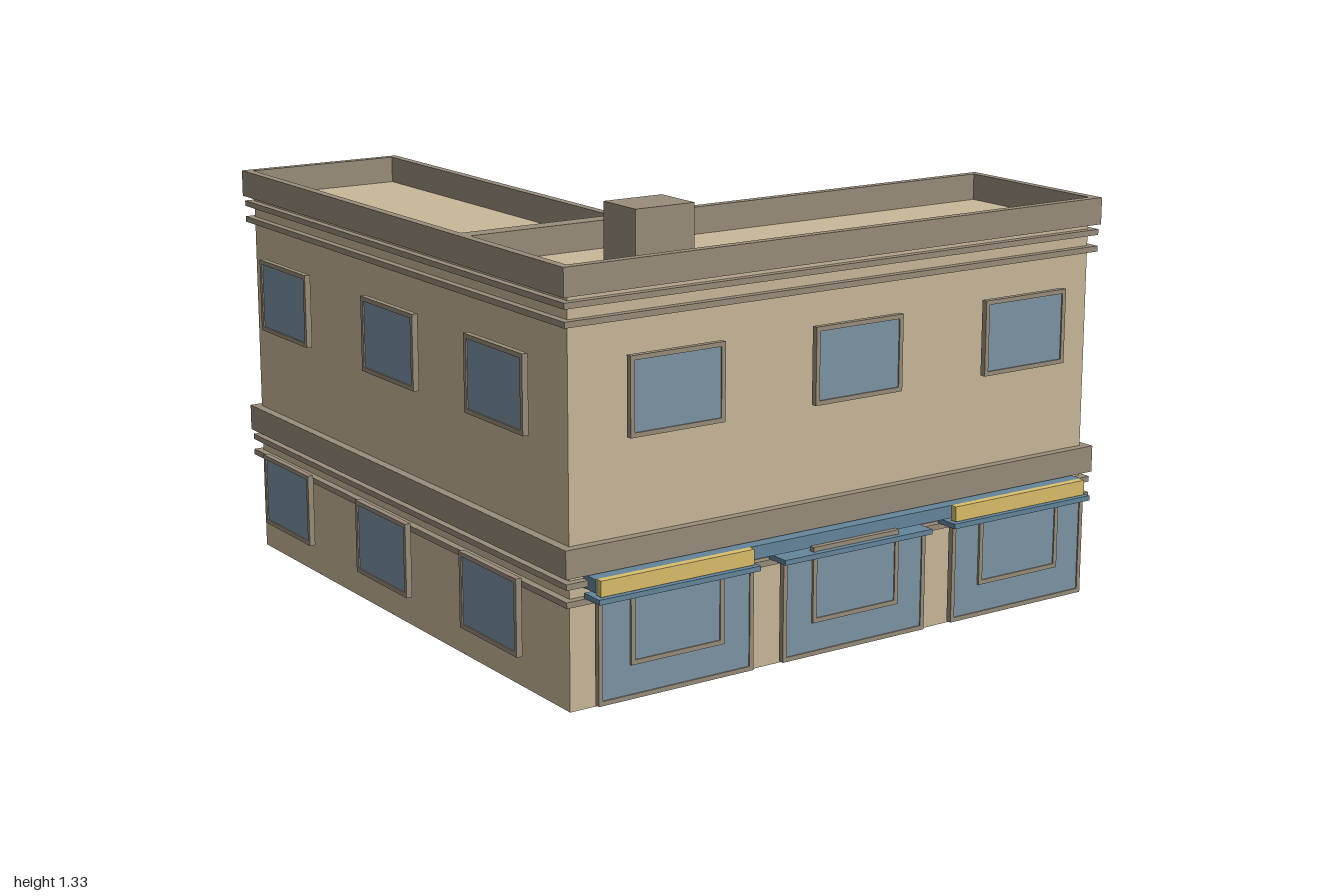
import * as THREE from 'three';

const mat = (color) => new THREE.MeshStandardMaterial({ color, flatShading: true });

export function createModel() {
  const model = new THREE.Group();
  const wall = mat(0xc9b99b), trim = mat(0x9a8e7b), glass = mat(0x7d95a5);
  const yellow = mat(0xdcbf6c), blue = mat(0x64869c);

  // Box given by its minimum and maximum on each axis
  function box(name, m, x0, x1, y0, y1, z0, z1, parent = model) {
    const mesh = new THREE.Mesh(new THREE.BoxGeometry(x1 - x0, y1 - y0, z1 - z0), m);
    mesh.position.set((x0 + x1) / 2, (y0 + y1) / 2, (z0 + z1) / 2);
    mesh.name = name;
    parent.add(mesh);
    return mesh;
  }

  // Rectangular ring outline, for frames and parapets
  function ring(w, h, t, depth) {
    const rect = (C, a, b) => {
      const p = new C();
      p.moveTo(-a, -b); p.lineTo(a, -b); p.lineTo(a, b); p.lineTo(-a, b); p.closePath();
      return p;
    };
    const shape = rect(THREE.Shape, w / 2, h / 2);
    shape.holes.push(rect(THREE.Path, w / 2 - t, h / 2 - t));
    return new THREE.ExtrudeGeometry(shape, { depth, bevelEnabled: false });
  }

  // Building block: walls, two trim courses and a parapet standing outside the wall line
  function block(name, x0, x1, z0, z1, bottom, roof) {
    const g = new THREE.Group();
    g.name = name;
    box(name + 'Walls', wall, x0, x1, bottom, roof, z0, z1, g);
    for (const y of [roof - 0.082, roof - 0.032]) {
      box(name + 'Trim', trim, x0 - 0.022, x1 + 0.022, y, y + 0.017, z0 - 0.022, z1 + 0.022, g);
    }
    const t = 0.027;
    const parapet = new THREE.Mesh(ring(x1 - x0 + 2 * t, z1 - z0 + 2 * t, t, 0.08), trim);
    parapet.rotation.x = -Math.PI / 2;
    parapet.position.set((x0 + x1) / 2, roof, (z0 + z1) / 2);
    parapet.name = name + 'Parapet';
    g.add(parapet);
    model.add(g);
  }

  const L = -0.91, R = 0.91, B = -0.92, F = 0.91, mid = 0.396;
  block('groundFloor', L, R, B, F, 0, 0.383);
  block('frontBlock', L, R, mid, F, 0.37, 1.14);
  block('tallWing', L, -0.42, B, mid, 0.37, 1.14);
  block('lowWing', 0.41, R, B, mid, 0.37, 0.76);
  box('chimney', trim, -0.64, -0.45, 1.13, 1.325, 0.67, 0.825);

  // Framed pane standing off the wall; x, z is the point on the wall, angle its facing
  function pane(name, x, y, z, angle, w = 0.305, h = 0.222, gap = 0.056) {
    const g = new THREE.Group();
    g.name = name;
    const frame = new THREE.Mesh(ring(w, h, 0.013, 0.018), trim);
    frame.position.z = gap;
    frame.name = name + 'Frame';
    g.add(frame);
    box(name + 'Glass', glass, -w / 2 + 0.012, w / 2 - 0.012, -h / 2 + 0.012, h / 2 - 0.012,
      gap + 0.004, gap + 0.014, g);
    g.position.set(x, y, z);
    g.rotation.y = angle;
    model.add(g);
  }
  const FRONT = 0, LEFT = Math.PI / 2, BACK = Math.PI, RIGHT = -Math.PI / 2;
  const low = 0.236, middle = 0.612, high = 0.863;

  for (const c of [-0.61, 0, 0.61]) {
    // Ground floor on all sides and the upper front
    pane('groundWindow', c, low, F, FRONT);
    pane('groundWindow', c, low, B, BACK);
    pane('groundWindow', R, low, c - 0.003, LEFT);
    pane('groundWindow', L, low, c - 0.003, RIGHT);
    pane('upperWindow', c, high, F, FRONT);
    // Shopfront with its header shelf
    pane('shopfront', c, 0.178, F, FRONT, 0.508, 0.3, 0.053);
    box('shopHeader', blue, c - 0.263, c + 0.263, 0.318, 0.333, 0.925, 1.0);
  }
  for (const c of [0, 0.61]) pane('courtWindow', c, high, mid, BACK);
  pane('sideWindow', R, high, 0.653, LEFT);
  pane('sideWindow', L, high, 0.653, RIGHT);
  for (const z of [0.065, -0.592]) {
    // Both faces of each wing
    pane('tallWingWindow', L, high, z, RIGHT);
    pane('tallWingWindow', -0.42, high, z, LEFT);
    pane('lowWingWindow', R, middle, z, LEFT);
    pane('lowWingWindow', 0.41, middle, z, RIGHT);
  }
  pane('tallWingEndWindow', -0.665, high, B, BACK);
  pane('lowWingEndWindow', 0.66, middle, B, BACK);

  // Fascia above the shops, with a yellow panel at each end
  box('fascia', blue, -0.865, 0.865, 0.342, 0.38, 0.9, 0.968);
  for (const s of [-1, 1]) {
    box('fasciaPanel', yellow, s * 0.61 - 0.25, s * 0.61 + 0.25, 0.335, 0.38, 0.966, 0.988);
  }
  return model;
}
